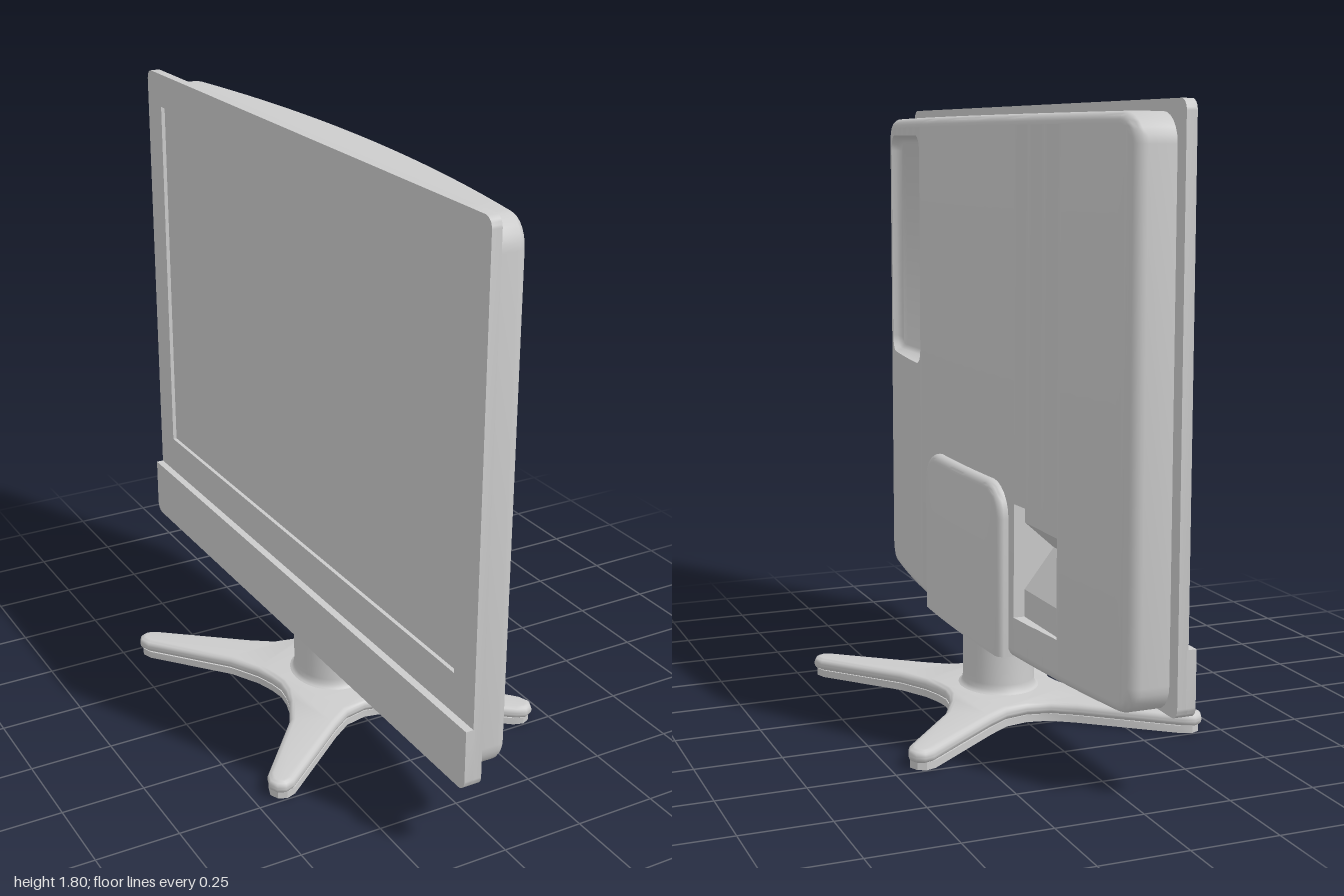
import * as THREE from 'three';
import { toCreasedNormals } from 'three/addons/utils/BufferGeometryUtils.js';

const grey = new THREE.MeshStandardMaterial({ color: 0xcccccc, side: THREE.DoubleSide });

// Rounded rectangles: u across, y up, separate top and bottom corner radii
const rect = (u0, u1, y0, y1, rt, rb = rt) => ({ u0, u1, y0, y1, rt, rb });
const inset = (r, d, db = d) => rect(r.u0 + d, r.u1 - d, r.y0 + db, r.y1 - d,
  Math.max(r.rt - d, 0), Math.max(r.rb - db, 0));

// Lower and upper y of a rounded rectangle at u
function span(r, u) {
  const cut = (rad) => {
    const d = Math.min(rad, Math.max(0, rad - (u - r.u0), rad - (r.u1 - u)));
    return rad - Math.sqrt(Math.max(0, rad * rad - d * d));
  };
  return [r.y0 + cut(r.rb), r.y1 - cut(r.rt)];
}

// Sample positions across: dense in the corners, even between them
function samples(r, n = 20, c = 6) {
  const rad = Math.max(r.rt, r.rb), left = [], mid = [];
  for (let i = 0; i < c; i++) left.push(rad * (1 - Math.cos((i / c) * Math.PI / 2)));
  for (let i = 0; i <= n; i++) mid.push(r.u0 + rad + (r.u1 - r.u0 - 2 * rad) * i / n);
  return [...left.map((d) => r.u0 + d), ...mid, ...left.reverse().map((d) => r.u1 - d)];
}

// Counter-clockwise outline with a depth rule
function ring(r, depth) {
  const us = samples(r);
  const low = us.map((u) => [u, span(r, u)[0], depth(u)]);
  const high = us.map((u) => [u, span(r, u)[1], depth(u)]).reverse();
  return [...low, ...high];
}

const quad = (out, a, b, c, d) => out.push(...a, ...b, ...c, ...a, ...c, ...d);

function loft(out, rings) {
  for (let k = 0; k + 1 < rings.length; k++) {
    const a = rings[k], b = rings[k + 1];
    a.forEach((p, i) => {
      const j = (i + 1) % a.length;
      quad(out, p, a[j], b[j], b[i]);
    });
  }
}

// Curved face built from upright strips, leaving the holes open
function face(out, r, depth, holes = []) {
  const all = [r, ...holes].flatMap((h) => samples(h)).map((u) => +u.toFixed(5));
  const us = [...new Set(all)].sort((a, b) => a - b);
  for (let i = 0; i + 1 < us.length; i++) {
    const [a, b] = [us[i], us[i + 1]], m = (a + b) / 2;
    const hit = holes.filter((h) => m > h.u0 && m < h.u1).sort((p, q) => p.y0 - q.y0);
    const ends = (u) => {
      const [lo, hi] = span(r, u);
      return [lo, ...hit.flatMap((h) => span(h, u)), hi];
    };
    const ya = ends(a), yb = ends(b);
    for (let k = 0; k < ya.length; k += 2) {
      quad(out, [a, ya[k], depth(a)], [b, yb[k], depth(b)],
        [b, yb[k + 1], depth(b)], [a, ya[k + 1], depth(a)]);
    }
  }
}

// Rings of a wall that rolls over into a curved face
function roll(r, back, depth, R, bottomRound) {
  const rings = [ring(r, () => back)];
  for (let i = 0; i <= 5; i++) {
    const a = (i / 5) * Math.PI / 2, d = R * (1 - Math.cos(a));
    rings.push(ring(inset(r, d, bottomRound ? d : 0), (u) => depth(u) - R * (1 - Math.sin(a))));
  }
  return rings;
}

function mesh(name, geo, crease = 0.6) {
  const m = new THREE.Mesh(toCreasedNormals(geo, crease), grey);
  m.name = name;
  return m;
}

function fromTriangles(name, out, crease) {
  const g = new THREE.BufferGeometry();
  g.setAttribute('position', new THREE.Float32BufferAttribute(out, 3));
  return mesh(name, g, crease);
}

const toShape = (r) => new THREE.Shape(ring(r, () => 0).map((p) => new THREE.Vector2(p[0], p[1])));

function plate(name, shape, z0, z1) {
  const g = new THREE.ExtrudeGeometry(shape, { depth: z1 - z0, bevelEnabled: false });
  return mesh(name, g.translate(0, 0, z0));
}

function createScreenHousing() {
  const housing = new THREE.Group();
  housing.name = 'screenHousing';

  // Front frame, screen panel and lower bar
  const frame = toShape(rect(-1, 1, 0.235, 1.805, 0.03));
  frame.holes.push(new THREE.Path([[-0.9, 0.54], [-0.9, 1.7], [0.9, 1.7], [0.9, 0.54]]
    .map((p) => new THREE.Vector2(...p))));
  housing.add(plate('frontFrame', frame, -0.12, -0.09));
  housing.add(plate('screen', toShape(rect(-0.91, 0.91, 0.53, 1.71, 0)), -0.108, -0.091));
  housing.add(plate('lowerBar', toShape(rect(-1, 1, 0.235, 0.42, 0, 0.03)), -0.143, -0.115));

  // Bowed back shell with two openings
  const bow = (u) => 0.105 - 0.094 * u * u;
  const outer = rect(-0.955, 0.955, 0.235, 1.775, 0.08);
  const recess = rect(-0.9, -0.46, 0.99, 1.72, 0.05);
  const port = rect(0.35, 0.6, 0.36, 0.69, 0);
  const shell = [];
  loft(shell, roll(outer, -0.09, bow, 0.03, true));
  face(shell, inset(outer, 0.03), bow, [recess, port]);
  housing.add(fromTriangles('backShell', shell));

  // Rounded recess
  const tray = [], floor = () => 0;
  loft(tray, [ring(recess, bow), ring(inset(recess, 0.008), () => 0.015),
    ring(inset(recess, 0.022), floor)]);
  face(tray, inset(recess, 0.022), floor);
  housing.add(fromTriangles('backRecess', tray, 0.9));

  // Connector pocket with a V-shaped notch
  const profile = [[0.69, 0.06], [0.635, 0.06], [0.555, -0.03], [0.44, 0.06], [0.36, 0.06]];
  const pocket = [], { u0, u1 } = port;
  for (let i = 0; i + 1 < profile.length; i++) {
    const [ya, da] = profile[i], [yb, db] = profile[i + 1];
    quad(pocket, [u0, yb, db], [u1, yb, db], [u1, ya, da], [u0, ya, da]);
    quad(pocket, [u0, yb, bow(u0)], [u0, yb, db], [u0, ya, da], [u0, ya, bow(u0)]);
    quad(pocket, [u1, yb, db], [u1, yb, bow(u1)], [u1, ya, bow(u1)], [u1, ya, da]);
  }
  quad(pocket, [u0, 0.69, 0.06], [u1, 0.69, 0.06], [u1, 0.69, bow(u1)], [u0, 0.69, bow(u0)]);
  quad(pocket, [u0, 0.36, bow(u0)], [u1, 0.36, bow(u1)], [u1, 0.36, 0.06], [u0, 0.36, 0.06]);
  housing.add(fromTriangles('connectorPocket', pocket, 0.3));

  // Raised cover over the stand mount
  const coverBow = (u) => 0.135 - 0.09 * u * u;
  const coverRect = rect(-0.315, 0.315, 0.235, 0.74, 0.1, 0);
  const cover = [];
  loft(cover, roll(coverRect, 0.06, coverBow, 0.025, false));
  face(cover, inset(coverRect, 0.025, 0), coverBow);
  quad(cover, [-0.315, 0.236, 0.06], [0.315, 0.236, 0.06], [0.29, 0.236, 0.126], [-0.29, 0.236, 0.126]);
  housing.add(fromTriangles('mountCover', cover));

  // The screen looks along -x
  housing.rotation.y = Math.PI / 2;
  return housing;
}

function createStand() {
  const stand = new THREE.Group();
  stand.name = 'stand';

  // Four-armed foot, one quarter mirrored
  const q = [[0.175, 0], [0.182, 0.05], [0.2, 0.11], [0.25, 0.205], [0.44, 0.43], [0.452, 0.465],
    [0.44, 0.492], [0.415, 0.503], [0.385, 0.493], [0.135, 0.29], [0.07, 0.245], [0, 0.23]];
  const flip = (sx, sy) => q.map(([x, y]) => [x * sx, y * sy]);
  const loop = [...q, ...flip(-1, 1).reverse().slice(1), ...flip(-1, -1).slice(1),
    ...flip(1, -1).reverse().slice(1, -1)];
  const star = new THREE.Shape(loop.map((p) => new THREE.Vector2(...p)));
  const lower = new THREE.ExtrudeGeometry(star, { depth: 0.022, bevelEnabled: false });
  stand.add(mesh('footSole', lower.scale(0.985, 0.985, 1).rotateX(-Math.PI / 2)));
  const upper = new THREE.ExtrudeGeometry(star, { depth: 0.004, bevelThickness: 0.018,
    bevelSize: 0.018, bevelOffset: -0.018, bevelSegments: 4 });
  stand.add(mesh('foot', upper.rotateX(-Math.PI / 2).translate(0, 0.036, 0), 0.8));

  // Oval neck with a flared bottom
  const neck = new THREE.LatheGeometry([[0.15, 0.055], [0.134, 0.06], [0.127, 0.07],
    [0.125, 0.085], [0.125, 0.24]].map((p) => new THREE.Vector2(...p)), 40);
  stand.add(mesh('neck', neck.scale(0.85, 1, 1), 0.8));
  return stand;
}

export function createModel() {
  const model = new THREE.Group();
  model.name = 'flatScreenTelevision';
  model.add(createScreenHousing(), createStand());
  return model;
}
